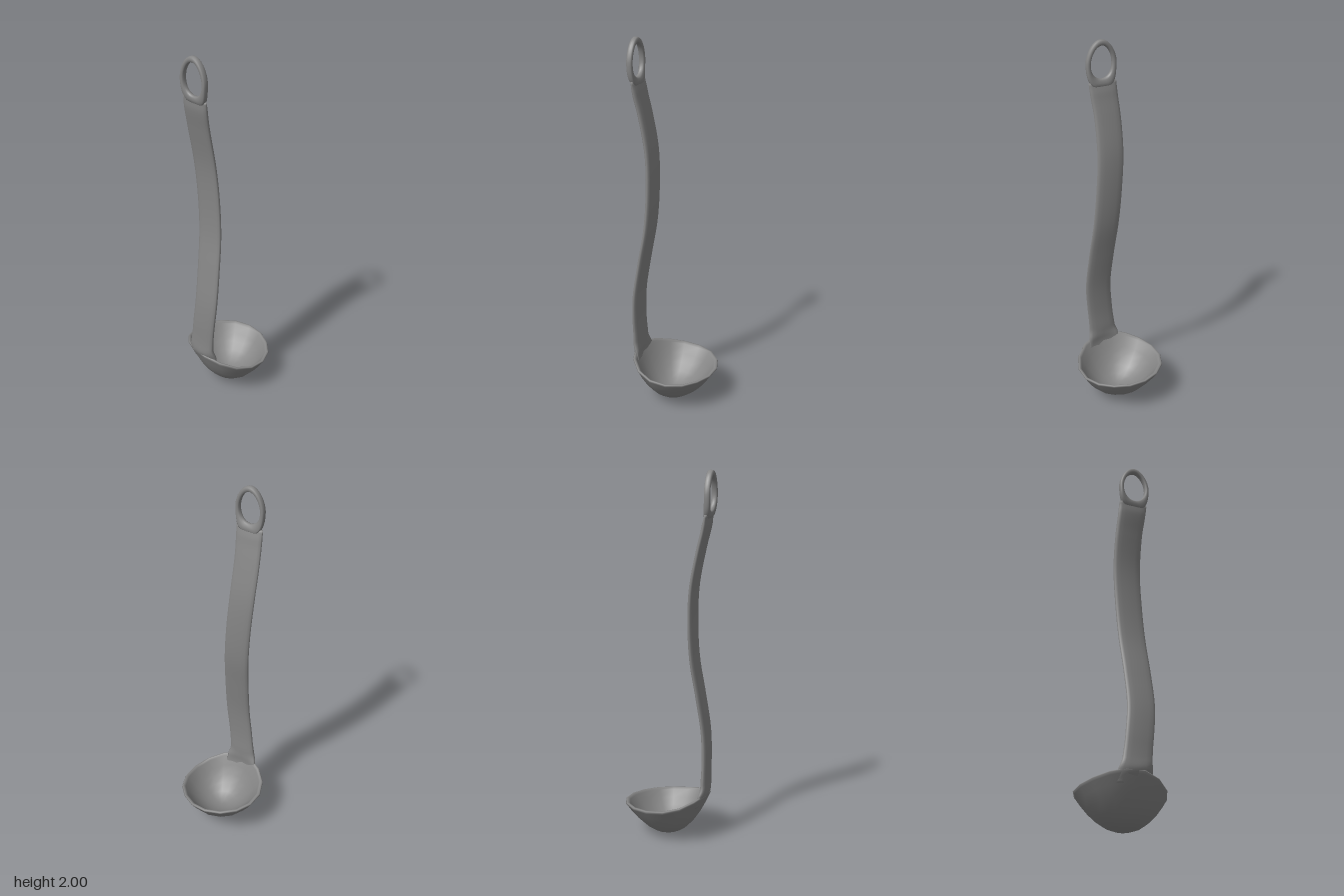
import * as THREE from 'three';
import { mergeVertices } from 'three/addons/utils/BufferGeometryUtils.js';

const V = (x, y, z) => new THREE.Vector3(x, y, z);
const { smoothstep, lerp } = THREE.MathUtils;
// Handle frame: across its width, and through its thickness (towards the bowl)
const across = V(0.53, 0, 0.848);
const inward = V(0.848, 0, -0.53);

// Calls make(angle) for n evenly spaced angles
const around = (n, make) => Array.from({ length: n }, (_, i) => make((i / n) * Math.PI * 2));
// Signed power, to square off an ellipse
const square = (x, power) => Math.sign(x) * Math.abs(x) ** power;

// Smooth skin over closed rings of points
function loft(rings) {
  const n = rings[0].length;
  const pos = rings.flatMap(r => r.flatMap(p => [p.x, p.y, p.z]));
  const index = [];
  for (let j = 0; j < rings.length - 1; j++) {
    for (let i = 0; i < n; i++) {
      const k = (i + 1) % n;
      const a = j * n + i, b = j * n + k, c = b + n, d = a + n;
      index.push(a, b, c, a, c, d);
    }
  }
  let geo = new THREE.BufferGeometry();
  geo.setAttribute('position', new THREE.Float32BufferAttribute(pos, 3));
  geo.setIndex(index);
  geo = mergeVertices(geo, 1e-5);
  geo.computeVertexNormals();
  return geo;
}

// Bowl: outer wall, rounded lip and inner wall, with the rim rising to the handle
function bowlGeometry() {
  const floor = 0.022, power = 2.2;
  const steps = [0, 0.2, 0.4, 0.58, 0.74, 0.88, 0.97];
  const profile = [
    ...steps.map(r => [r, h => h * r ** power]),
    [1, h => h * 0.985], [0.985, h => h + 0.003], [0.945, h => h + 0.004], [0.905, h => h - 0.006],
    ...steps.slice(0, -1).reverse().map(r => [r * 0.9, h => floor + (h - 0.01 - floor) * r ** power])
  ];
  return loft(profile.map(([r, height]) => around(16, angle => {
    const a = angle - 0.06;
    const dir = V(Math.cos(a), 0, -Math.sin(a));
    const rim = 0.181 + 0.075 * ((1 - dir.dot(inward)) / 2) ** 4 - 0.015 * dir.dot(across);
    const radius = 0.229 + 0.012 * Math.abs(dir.z);
    // The lowest point sits a little forward of the rim's centre
    return V(0.012 + dir.x * radius * r, height(rim), dir.z * radius * r + 0.015 * (1 - r * r));
  })));
}

// Handle: rounded flat bar with a double bend, flaring into the bowl wall
function handleGeometry() {
  const path = new THREE.CatmullRomCurve3([
    V(-0.156, 0.19, 0.105), V(-0.17, 0.25, 0.114), V(-0.166, 0.32, 0.118), V(-0.159, 0.45, 0.129),
    V(-0.145, 0.6, 0.134), V(-0.125, 0.8, 0.112), V(-0.108, 1.0, 0.083), V(-0.11, 1.2, 0.066),
    V(-0.127, 1.4, 0.06), V(-0.16, 1.6, 0.078), V(-0.176, 1.7, 0.095), V(-0.185, 1.78, 0.106)
  ]);
  const section = (p, w, t, bend) => around(16, a => {
    const u = w * square(Math.cos(a), 0.75);
    const v = t * square(Math.sin(a), 0.75) + bend * u * u / 0.46;
    return p.clone().addScaledVector(across, u).addScaledVector(inward, v);
  });
  const steps = 60;
  const rings = [section(path.getPoint(0), 0, 0, 0)];
  for (let j = 0; j <= steps; j++) {
    const p = path.getPoint(j / steps);
    const flare = 1 - smoothstep(p.y, 0.26, 0.4);
    const root = 1 - smoothstep(p.y, 0.24, 0.31);
    const w = 0.077 + 0.005 * flare + 0.012 * root + 0.003 * smoothstep(p.y, 1.6, 1.78);
    const body = 0.0165 + 0.003 * flare - 0.006 * smoothstep(p.y, 1.72, 1.78);
    const t = lerp(0.004, body, smoothstep(p.y, 0.19, 0.27));
    rings.push(section(p, w, t, root));
  }
  rings.push(section(path.getPoint(1), 0, 0, 0));
  return loft(rings);
}

// Hanging eye: flat band between an egg-shaped hole and the rounded handle end
function eyeGeometry() {
  const band = a => {
    const c = Math.cos(a), s = Math.sin(a);
    const egg = 1 - 0.12 * s;
    const inner = new THREE.Vector2(0.062 * c * egg, 0.087 * s);
    const outer = s >= 0
      ? new THREE.Vector2(0.086 * c * egg, 0.118 * s)
      : new THREE.Vector2(0.086 * square(c, 0.4), 0.13 * s);
    const middle = inner.clone().lerp(outer, 0.5);
    const half = outer.clone().sub(middle);
    return around(12, b => {
      const q = middle.clone().addScaledVector(half, square(Math.cos(b), 0.75));
      const lean = Math.max(0, -0.02 - q.y) ** 2;
      return V(-0.19, 1.882 + q.y, 0.112)
        .addScaledVector(across, q.x)
        .addScaledVector(inward, lean + 0.0165 * square(Math.sin(b), 0.75));
    });
  };
  const rings = around(40, band);
  return loft([...rings, rings[0]]);
}

export function createModel() {
  const ladle = new THREE.Group();
  ladle.name = 'ladle';
  const material = new THREE.MeshStandardMaterial({ color: 0x858585 });
  const parts = { bowl: bowlGeometry(), handle: handleGeometry(), hangingEye: eyeGeometry() };
  for (const [name, geometry] of Object.entries(parts)) {
    const mesh = new THREE.Mesh(geometry, material);
    mesh.name = name;
    ladle.add(mesh);
  }
  return ladle;
}
